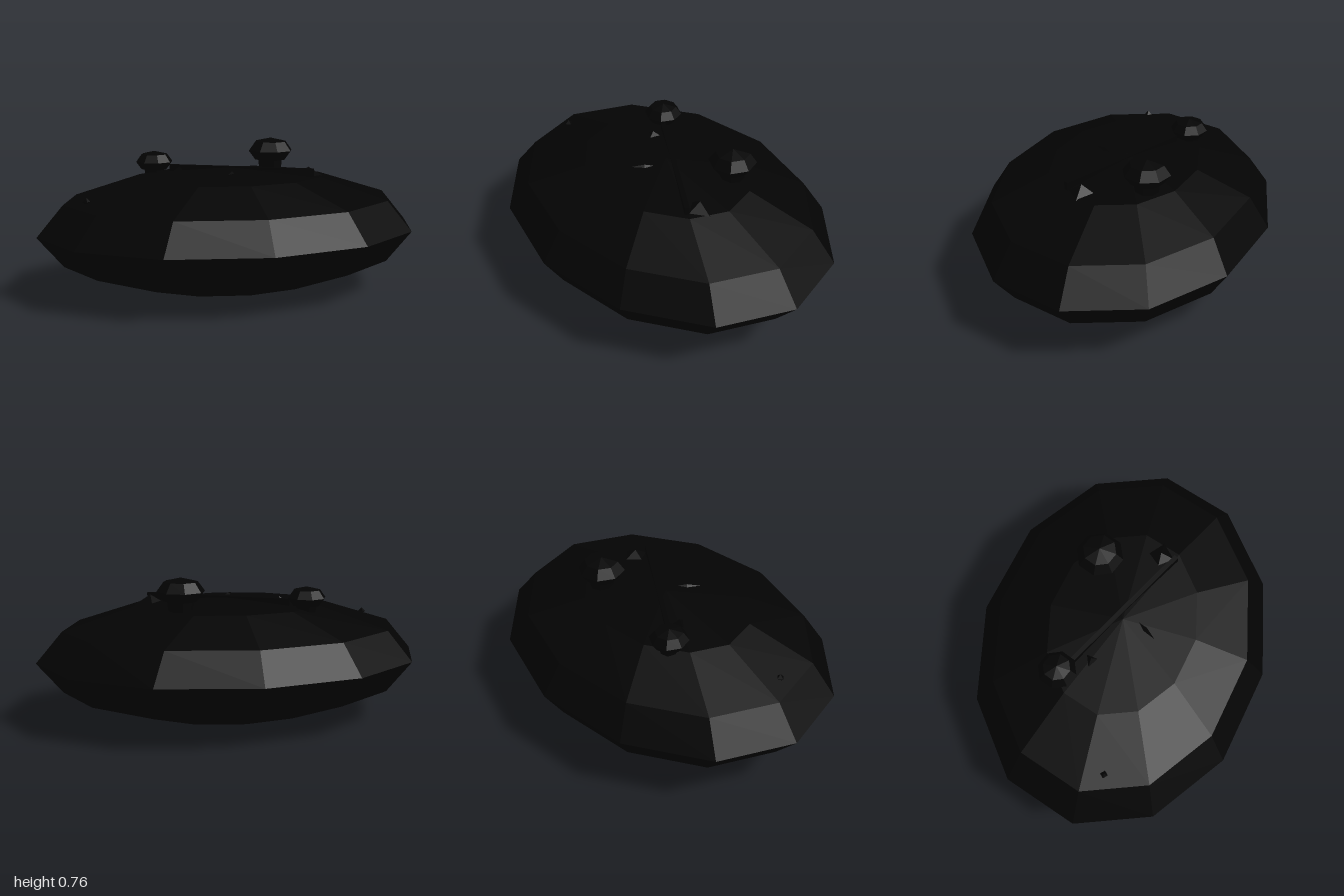
import * as THREE from 'three';

export function createModel() {
  const group = new THREE.Group();
  const black = new THREE.MeshStandardMaterial({ color: 0x030303, flatShading: true });

  function add(name, geometry, x, y, z) {
    const mesh = new THREE.Mesh(geometry, black);
    mesh.name = name;
    mesh.position.set(x, y, z);
    group.add(mesh);
    return mesh;
  }

  // Surface height of the body's gently sloping cap
  const capY = (x, z) => 0.63 - 0.084 * Math.hypot(x, z / 0.75);

  // Flattened faceted body
  add('body', new THREE.SphereGeometry(1, 12, 6).scale(1, 0.315, 0.755), 0, 0.315, 0);

  // Two faceted knobs of different size, each on a short tapering stem
  for (const [name, x, y, z, r, h] of [
    ['smallKnob', -0.343, 0.645, -0.245, 0.098, 0.056],
    ['largeKnob', 0.29, 0.69, -0.195, 0.122, 0.068],
  ]) {
    add(name, new THREE.SphereGeometry(r, 8, 4).scale(1, h / r, 1), x, y, z);
    const foot = capY(x, z) - 0.02;
    add(name + 'Stem', new THREE.CylinderGeometry(r * 0.6, r * 0.5, y - foot, 8), x, (y + foot) / 2, z);
  }

  // Thin straight bar lying diagonally across the top
  const a = new THREE.Vector2(-0.27, -0.19), b = new THREE.Vector2(0.4, 0.18);
  const bar = add('bar', new THREE.BoxGeometry(a.distanceTo(b), 0.05, 0.024),
    (a.x + b.x) / 2, 0.608, (a.y + b.y) / 2);
  bar.rotation.y = -Math.atan2(b.y - a.y, b.x - a.x);

  // Low pyramids beside the ends of the bar
  add('largeFin', new THREE.ConeGeometry(0.1, 0.062, 4), 0.4, 0.602, 0.1);
  const smallFin = add('smallFin', new THREE.ConeGeometry(0.065, 0.05, 3), -0.24, 0.608, -0.1);
  smallFin.rotation.y = 0.4;

  // Slight bumps on the upper surface
  const ridge = add('ridge', new THREE.OctahedronGeometry(1).scale(0.012, 0.012, 0.07), -0.02, capY(-0.02, 0.12), 0.12);
  ridge.rotation.y = -0.6;
  add('bump', new THREE.OctahedronGeometry(0.02), -0.76, 0.503, 0.1);

  return group;
}
